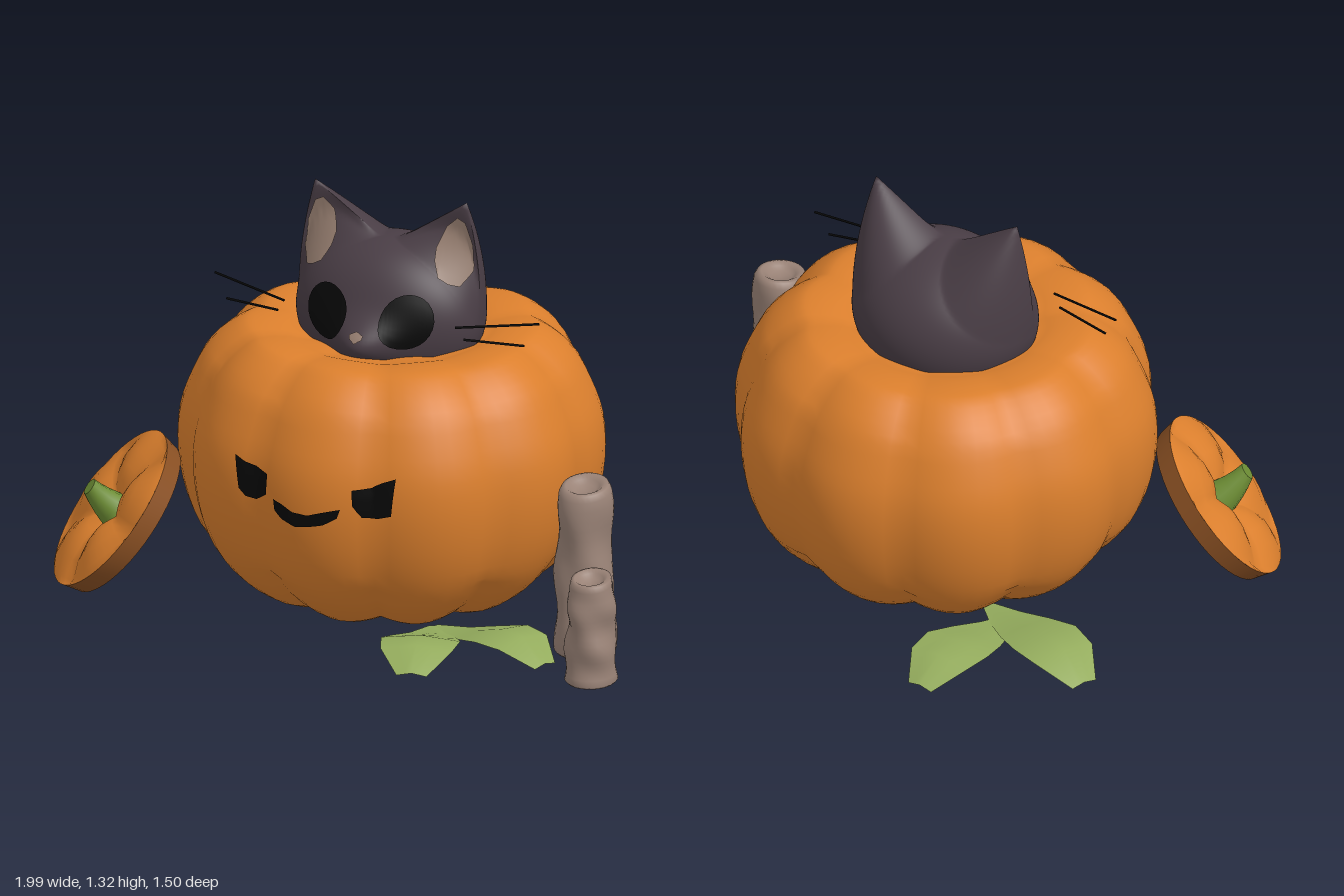
import * as THREE from 'three';
import { mergeVertices, toCreasedNormals } from 'three/addons/utils/BufferGeometryUtils.js';

const V3 = (x, y, z) => new THREE.Vector3(x, y, z);
const mat = (name, color, double) => {
  const m = new THREE.MeshStandardMaterial({ color });
  m.name = name;
  if (double) m.side = THREE.DoubleSide;
  return m;
};
const toPoints = list => list.map(p => new THREE.Vector2(...p));

// Moves every vertex by a rule
function deform(geo, rule) {
  const p = geo.attributes.position, v = V3(0, 0, 0);
  for (let i = 0; i < p.count; i++) {
    v.fromBufferAttribute(p, i);
    rule(v);
    p.setXYZ(i, v.x, v.y, v.z);
  }
  return geo;
}

// Welds seams and gives smooth normals
function smooth(geo) {
  geo.deleteAttribute('uv');
  geo.deleteAttribute('normal');
  const g = mergeVertices(geo, 1e-5);
  g.computeVertexNormals();
  return g;
}

// Surface from a grid of points
function gridGeometry(rows) {
  const n = rows[0].length, idx = [];
  for (let i = 0; i < rows.length - 1; i++)
    for (let j = 0; j < n - 1; j++) {
      const a = i * n + j;
      idx.push(a, a + 1, a + n, a + 1, a + n + 1, a + n);
    }
  const g = new THREE.BufferGeometry().setFromPoints(rows.flat());
  g.setIndex(idx);
  g.computeVertexNormals();
  return g;
}

// Point along a polyline, four steps per segment
function along(pts, k) {
  const i = Math.min(Math.floor(k / 4), pts.length - 2), t = k / 4 - i;
  return [0, 1].map(c => pts[i][c] + (pts[i + 1][c] - pts[i][c]) * t);
}

// Thin painted patch between an upper and a lower edge, laid onto the front of a mesh
function decal(target, top, bottom) {
  const ray = new THREE.Raycaster(), rows = [], M = 8;
  let z = 0;
  for (let k = 0; k <= (top.length - 1) * 4; k++) {
    const a = along(top, k), b = along(bottom, k), row = [];
    for (let j = M; j >= 0; j--) {
      const x = a[0] + (b[0] - a[0]) * j / M, y = a[1] + (b[1] - a[1]) * j / M;
      ray.set(V3(x, y, 3), V3(0, 0, -1));
      const hit = ray.intersectObject(target)[0];
      if (hit) z = hit.point.z;
      const p = V3(x, y, z);
      if (hit) p.addScaledVector(hit.face.normal, 0.006);
      row.push(p);
    }
    rows.push(row);
  }
  const g = gridGeometry(rows);
  g.setIndex(Array.from(g.index.array).reverse());
  g.computeVertexNormals();
  return g;
}

export function createModel() {
  const root = new THREE.Group();
  const orange = mat('pumpkin orange', 0xdb7f2d);
  const flesh = mat('cut rim brown', 0x8a5023);
  const fur = mat('dark fur', 0x493d45);
  const black = mat('black', 0x080808, true);
  const pink = mat('inner ear pink', 0x957d6f, true);
  const wax = mat('brown wax', 0x998276);
  const leafGreen = mat('leaf green', 0x94ac5d, true);
  const stemGreen = mat('stem green', 0x6c8c34);
  const add = (name, geo, m, parent = root) => {
    const mesh = new THREE.Mesh(geo, m);
    mesh.name = name;
    parent.add(mesh);
    return mesh;
  };

  // Pumpkin with ten lobes and a shallow sunken top
  const profile = new THREE.SplineCurve(toPoints([
    [0, 0.05], [0.16, 0.035], [0.33, 0.012], [0.45, 0.065], [0.56, 0.17], [0.625, 0.3], [0.655, 0.45],
    [0.65, 0.59], [0.61, 0.71], [0.555, 0.81], [0.47, 0.88], [0.41, 0.892], [0.34, 0.885], [0.26, 0.865], [0, 0.84]
  ])).getPoints(44);
  profile.forEach(p => { p.x = Math.max(p.x, 0); });
  const body = deform(new THREE.LatheGeometry(profile, 80), v => {
    const r = Math.hypot(v.x, v.z);
    const lobe = Math.abs(Math.cos(5 * Math.atan2(v.x, v.z)));
    const k = 0.955 + 0.05 * lobe;
    const lift = (1 - lobe) * Math.min(1, r / 0.35) * (v.y < 0.2 ? 0.02 : v.y > 0.8 ? -0.012 : 0);
    v.set(v.x * k * 1.015 + 0.01, v.y + lift, v.z * k * 1.005 - 0.008);
  });
  const pumpkin = add('pumpkin', smooth(body), orange);

  // Carved face
  add('carvedEyeLeft', decal(pumpkin,
    [[0.145, 0.575], [0.2, 0.582], [0.235, 0.6], [0.275, 0.615]],
    [[0.148, 0.525], [0.175, 0.486], [0.22, 0.482], [0.265, 0.495]]), black);
  add('carvedEyeRight', decal(pumpkin,
    [[-0.268, 0.613], [-0.23, 0.598], [-0.19, 0.592], [-0.14, 0.582]],
    [[-0.25, 0.51], [-0.225, 0.488], [-0.185, 0.485], [-0.142, 0.515]]), black);
  add('carvedMouth', decal(pumpkin,
    [[-0.112, 0.51], [-0.08, 0.503], [-0.04, 0.486], [0.01, 0.484], [0.06, 0.5], [0.114, 0.513]],
    [[-0.107, 0.475], [-0.08, 0.453], [-0.03, 0.437], [0.01, 0.445], [0.06, 0.457], [0.104, 0.483]]), black);

  // Cat head: rounded form with a small muzzle and drawn-up ears, hollowed in front
  const cat = new THREE.Group();
  cat.name = 'cat';
  root.add(cat);
  const head = deform(new THREE.SphereGeometry(1, 144, 72), v => {
    const muzzle = Math.exp(-((v.x / 0.34) ** 2 + ((v.y + 0.13) / 0.3) ** 2)) * (v.z > 0 ? 0.078 : 0);
    v.set(v.x * 0.305, 0.93 + v.y * 0.25, v.z * (v.z > 0 ? 0.203 : 0.295) + muzzle);
    const dz = v.z * (v.z > 0 ? 2.8 : 0.85);
    const w = Math.max(0, 1 - Math.hypot(Math.abs(v.x) - 0.2157, v.y - 1.107, dz) / 0.2) ** 1.2;
    const hollow = Math.min(1, Math.max(0, v.z / 0.03)) * 0.14 * w * (1 - w);
    v.set(v.x + Math.sign(v.x) * 0.042 * w + 0.006, v.y + 0.22 * w, v.z - 0.012 * w - hollow);
  });
  const headMesh = add('catHead', smooth(head), fur, cat);

  for (const s of [1, -1]) {
    const label = s > 0 ? 'Left' : 'Right';
    const flip = pts => {
      const out = pts.map(([x, y]) => [s * x + 0.008, y]);
      return s > 0 ? out : out.reverse();
    };
    // Inner ear
    add('innerEar' + label, decal(headMesh,
      flip([[0.168, 1.175], [0.19, 1.24], [0.228, 1.275], [0.255, 1.262], [0.281, 1.19]]),
      flip([[0.172, 1.14], [0.193, 1.095], [0.225, 1.075], [0.255, 1.065], [0.284, 1.11]])), pink, cat);
    // Round eye
    const upper = [], lower = [];
    for (let i = 0; i <= 12; i++) {
      const a = Math.PI * (1 - i / 12), x = 0.132 + 0.078 * Math.cos(a);
      upper.push([x, 0.975 + 0.082 * Math.sin(a)]);
      lower.push([x, 0.975 - 0.082 * Math.sin(a)]);
    }
    add('catEye' + label, decal(headMesh, flip(upper), flip(lower)), black, cat);
    // Whiskers
    [[0.29, 0.975, 0.158, 0.55, 1.007, 0.1], [0.315, 0.936, 0.15, 0.505, 0.931, 0.112]].forEach(w => {
      const path = new THREE.LineCurve3(V3(s * w[0] + 0.007, w[1], w[2]), V3(s * w[3] + 0.007, w[4], w[5]));
      add('whisker' + label, new THREE.TubeGeometry(path, 1, 0.004, 5), black, cat);
    });
  }
  add('nose', decal(headMesh,
    [[-0.016, 0.938], [0.006, 0.948], [0.028, 0.938]],
    [[-0.014, 0.928], [0.006, 0.916], [0.026, 0.928]]), pink, cat);

  // Cut-off lid leaning on the pumpkin: lobed top, flat cut underside, stem
  const lid = new THREE.Group();
  lid.name = 'lid';
  root.add(lid);
  add('lidCut', toCreasedNormals(new THREE.LatheGeometry(
    toPoints([[0, -0.042], [0.27, -0.042], [0.284, 0.022]]), 48), 0.7), flesh, lid);
  const lidTop = deform(new THREE.LatheGeometry(toPoints([[0.284, 0.022], [0.26, 0.036], [0.2, 0.052],
    [0.14, 0.054], [0.09, 0.04], [0.04, 0.008], [0, 0]]), 50), v => {
    const r = Math.hypot(v.x, v.z), crease = 1 - Math.abs(Math.cos(2.5 * Math.atan2(v.x, v.z)));
    if (r < 0.28) v.y -= 0.026 * crease * Math.min(1, r / 0.14);
  });
  add('lidTop', smooth(lidTop), orange, lid);
  const stem = deform(new THREE.CylinderGeometry(0.028, 0.062, 0.13, 10, 4), v => {
    v.x += 1.5 * (v.y + 0.065) ** 2;
  });
  add('stem', toCreasedNormals(stem, 0.9), stemGreen, lid).position.y = 0.06;
  lid.position.set(-0.773, 0.258, 0.345);
  lid.quaternion.setFromUnitVectors(V3(0, 1, 0), V3(-0.67, 0.61, 0.42).normalize());

  // Melted candles with slightly hollow tops
  const candle = (name, x, z, r, h, seed) => {
    const pts = toPoints([[0, 0], [0.98 * r, 0]]);
    for (let i = 0; i <= 16; i++) {
      const t = i / 16;
      pts.push(new THREE.Vector2(r * (1.04 - 0.15 * t + 0.05 * Math.sin(t * 15 + seed)), 0.008 + t * (h - 0.03)));
    }
    pts.push(...toPoints([[0.8 * r, h - 0.004], [0.66 * r, h], [0.5 * r, h - 0.01], [0.36 * r, h - 0.022], [0, h - 0.025]]));
    const geo = deform(new THREE.LatheGeometry(pts, 28), v => {
      const a = Math.atan2(v.x, v.z), t = v.y / h;
      const k = 1 + 0.07 * Math.sin(3 * a + 9 * t + seed) * Math.sin(Math.PI * Math.min(t, 1));
      v.set(v.x * k * 0.95, v.y - 0.15 * v.z * t * t, v.z * k * 1.03);
    });
    add(name, smooth(geo), wax).position.set(x, 0.022, z);
  };
  candle('tallCandle', 0.793, 0.285, 0.096, 0.555, 0.5);
  candle('shortCandle', 0.912, 0.513, 0.082, 0.345, 2.6);

  // Leaves lying out from under the pumpkin, arched and folded along the midrib
  const leaf = (name, bx, bz, tx, tz, width) => {
    const dir = V3(tx - bx, 0, tz - bz), across = V3(-dir.z, 0, dir.x).normalize();
    const rows = [0.12, 0.5, 0.8, 1, 0.9, 0.38].map((s, i) => {
      const t = i / 5, y = 0.018 + 0.09 * Math.sin(Math.PI * 0.9 * t ** 1.8);
      const mid = V3(bx, y, bz).addScaledVector(dir, t);
      return [1, 0.5, 0, -0.5, -1].map(u => {
        const p = mid.clone().addScaledVector(across, u * s * width / 2);
        p.y -= 0.024 * Math.abs(u) * s * t;
        return p;
      });
    });
    add(name, gridGeometry(rows), leafGreen);
  };
  leaf('leafFrontInner', 0.28, 0.28, 0.4, 0.74, 0.25);
  leaf('leafFrontOuter', 0.28, 0.28, 0.75, 0.5, 0.22);
  leaf('leafBackInner', -0.38, -0.24, -0.34, -0.74, 0.23);
  leaf('leafBackOuter', -0.27, -0.23, -0.77, -0.46, 0.23);

  return root;
}
